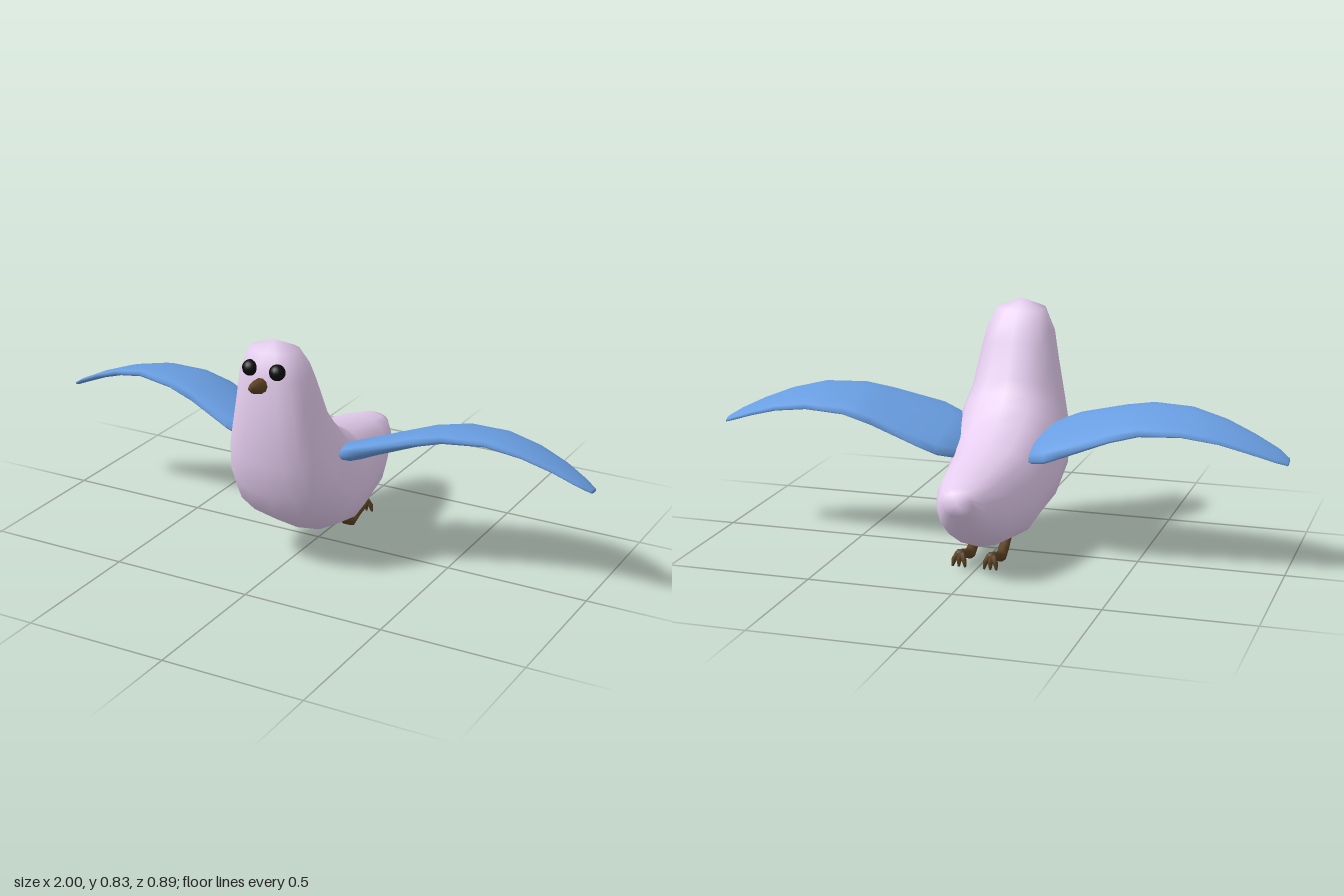
import * as THREE from 'three';

const paint = (color) => new THREE.MeshStandardMaterial({ color });
const PLUMAGE = paint(0xe5cdef);
const WING = paint(0x699ee2);
const HORN = paint(0x5c4224);
const EYE = paint(0x0b0b0b);

// Smooth skin over equal-sized rings of Vector3, closed by a point at each end
function loft(rings, startTip, endTip) {
  const n = rings[0].length;
  const points = [...rings.flat(), startTip, endTip];
  const first = points.length - 2, last = points.length - 1;
  const top = (rings.length - 1) * n;
  const index = [];
  for (let j = 0; j < n; j++) {
    const k = (j + 1) % n;
    for (let i = 0; i < rings.length - 1; i++) {
      const a = i * n + j, b = i * n + k;
      index.push(a, b, b + n, a, b + n, a + n);
    }
    index.push(first, k, j, last, top + j, top + k);
  }
  const geometry = new THREE.BufferGeometry().setFromPoints(points);
  geometry.setIndex(index);
  geometry.computeVertexNormals();
  return geometry;
}

function addMesh(parent, name, geometry, material) {
  const mesh = new THREE.Mesh(geometry, material);
  mesh.name = name;
  parent.add(mesh);
  return mesh;
}

const squarish = (v, p) => Math.sign(v) * Math.abs(v) ** p;

// Body sections from tail to crown:
// back z, back y, belly z, belly y, half width, widest place (0 back, 1 belly)
function bodyGeometry() {
  const sections = [
    [-0.43, 0.325, -0.44, 0.25, 0.05, 0.5],
    [-0.4, 0.335, -0.36, 0.155, 0.088, 0.5],
    [-0.3, 0.363, -0.22, 0.08, 0.132, 0.5],
    [-0.1, 0.4, -0.03, 0.055, 0.165, 0.55],
    [0.0, 0.455, 0.15, 0.105, 0.19, 0.6],
    [0.06, 0.505, 0.29, 0.2, 0.2, 0.62],
    [0.09, 0.54, 0.335, 0.29, 0.193, 0.62],
    [0.12, 0.585, 0.383, 0.42, 0.166, 0.6],
    [0.17, 0.7, 0.383, 0.6, 0.136, 0.52],
    [0.195, 0.75, 0.38, 0.71, 0.12, 0.5],
    [0.225, 0.8, 0.358, 0.805, 0.085, 0.5],
  ];
  const sides = 16;
  const rings = sections.map(([bz, by, fz, fy, w, t]) => {
    const ring = [];
    for (let j = 0; j < sides; j++) {
      const a = (j / sides) * Math.PI * 2;
      const c = squarish(Math.cos(a), 0.85), s = squarish(Math.sin(a), 0.9);
      const k = s > 0 ? t * (1 - s) : t - (1 - t) * s;
      ring.push(new THREE.Vector3(w * c, by + (fy - by) * k, bz + (fz - bz) * k));
    }
    return ring;
  });
  return loft(rings, new THREE.Vector3(0, 0.287, -0.44), new THREE.Vector3(0, 0.835, 0.295));
}

// Wing sections from root to tip:
// x, leading z, leading y, trailing z, trailing y, half thickness
function wingGeometry(side) {
  const sections = [
    [0.13, 0.185, 0.41, -0.07, 0.345, 0.033],
    [0.19, 0.2, 0.43, -0.105, 0.36, 0.036],
    [0.25, 0.21, 0.455, -0.12, 0.385, 0.034],
    [0.42, 0.165, 0.505, -0.135, 0.455, 0.028],
    [0.52, 0.145, 0.527, -0.133, 0.482, 0.024],
    [0.66, 0.112, 0.53, -0.125, 0.487, 0.02],
    [0.78, 0.087, 0.503, -0.108, 0.468, 0.016],
    [0.88, 0.063, 0.465, -0.085, 0.438, 0.013],
    [0.96, 0.045, 0.427, -0.055, 0.408, 0.01],
    [1.0, 0.02, 0.402, -0.03, 0.393, 0.007],
  ];
  const sides = 12;
  const rings = sections.map(([x, lz, ly, tz, ty, h]) => {
    const ring = [];
    for (let j = 0; j < sides; j++) {
      const a = side * (j / sides) * Math.PI * 2;
      const s = Math.sin(a);
      ring.push(new THREE.Vector3(
        side * x,
        (ly + ty) / 2 + (ly - ty) / 2 * s + h * Math.cos(a),
        (lz + tz) / 2 + (lz - tz) / 2 * s,
      ));
    }
    return ring;
  });
  return loft(rings, new THREE.Vector3(side * 0.125, 0.378, 0.055), new THREE.Vector3(side, 0.397, -0.005));
}

// Tapering limb along [x, y, z, radius] joints, each ring square to the path
function limbGeometry(joints, sides = 7) {
  const centres = joints.map(([x, y, z]) => new THREE.Vector3(x, y, z));
  const rings = joints.map(([, , , r], i) => {
    const before = centres[Math.max(i - 1, 0)];
    const after = centres[Math.min(i + 1, joints.length - 1)];
    const dir = after.clone().sub(before).normalize();
    const u = new THREE.Vector3(1, 0, 0).addScaledVector(dir, -dir.x).normalize();
    const v = dir.clone().cross(u);
    return Array.from({ length: sides }, (_, j) => {
      const a = (j / sides) * Math.PI * 2;
      return centres[i].clone().addScaledVector(u, r * Math.cos(a)).addScaledVector(v, r * Math.sin(a));
    });
  });
  return loft(rings, centres[0], centres[centres.length - 1]);
}

export function createModel() {
  const bird = new THREE.Group();
  bird.name = 'bird';
  addMesh(bird, 'body', bodyGeometry(), PLUMAGE);

  // Beak: stubby and slightly upturned
  addMesh(bird, 'beak', limbGeometry([
    [-0.004, 0.701, 0.36, 0.025],
    [-0.004, 0.701, 0.385, 0.026],
    [-0.004, 0.706, 0.42, 0.019],
    [-0.004, 0.712, 0.445, 0.007],
  ], 10), HORN);

  for (const side of [1, -1]) {
    const label = side > 0 ? 'left' : 'right';
    addMesh(bird, label + 'Wing', wingGeometry(side), WING);

    const eye = addMesh(bird, label + 'Eye', new THREE.SphereGeometry(0.027, 16, 12), EYE);
    eye.position.set(side * 0.05, 0.75, 0.363);

    // Leg folded back in flight, with spread claws at the end
    const leg = new THREE.Group();
    leg.name = label + 'Leg';
    bird.add(leg);
    const x = side * 0.055;
    addMesh(leg, 'shank', limbGeometry([
      [x, 0.085, -0.055, 0.017],
      [x, 0.045, -0.1, 0.018],
      [x, 0.025, -0.138, 0.02],
      [x, 0.042, -0.19, 0.017],
      [x, 0.056, -0.243, 0.018],
      [x, 0.054, -0.254, 0.012],
    ]), HORN);
    for (const spread of [-1, 0, 1]) {
      addMesh(leg, 'toe', limbGeometry([
        [x + spread * 0.007, 0.06, -0.248, 0.01],
        [x + spread * 0.018, 0.038, -0.256, 0.009],
        [x + spread * 0.022, 0.016, -0.258, 0.004],
      ], 6), HORN);
    }
  }
  return bird;
}
